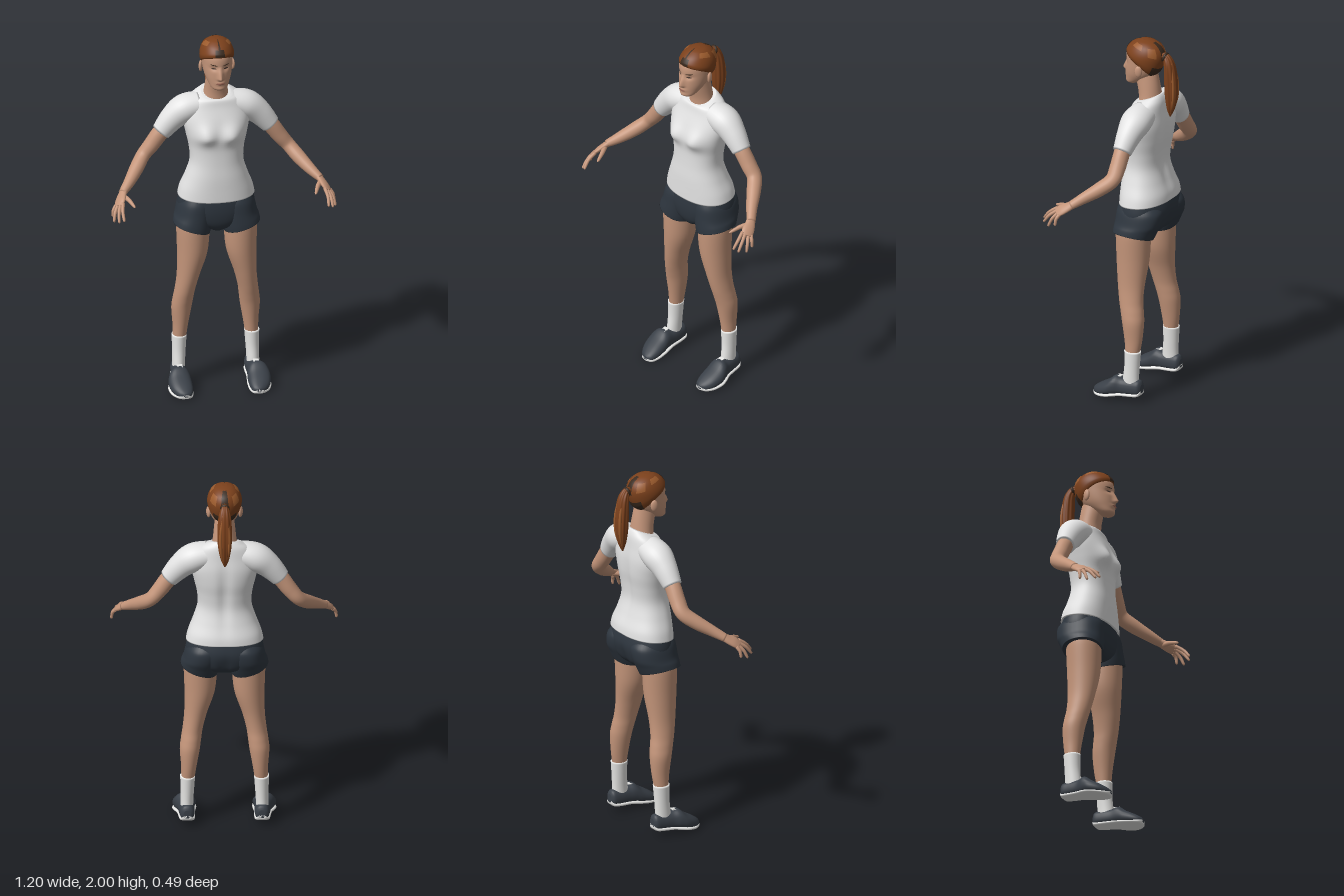
import * as THREE from 'three';

const V = (x, y, z) => new THREE.Vector3(x, y, z);
const mat = (name, color, side = THREE.FrontSide) => {
  const m = new THREE.MeshStandardMaterial({ color, side });
  m.name = name;
  return m;
};
const gauss = (d, w) => Math.exp(-(d * d) / (w * w));
const bend = (s, e) => Math.sign(s) * Math.abs(s) ** e;

// Catmull-Rom interpolation through rows of equal length
function smooth(rows, sub) {
  const out = [], last = rows.length - 1;
  for (let i = 0; i < last; i++) {
    const [p, a, b, q] = [rows[Math.max(i - 1, 0)], rows[i], rows[i + 1], rows[Math.min(i + 2, last)]];
    for (let k = 0; k < sub; k++) {
      const t = k / sub;
      out.push(a.map((v, j) => v + 0.5 * t * (b[j] - p[j] + t * (2 * p[j] - 5 * v + 4 * b[j] - q[j] + t * (3 * (v - b[j]) + q[j] - p[j])))));
    }
  }
  out.push(rows[last]);
  return out;
}

// Surface through rings of points; closed surfaces get end caps
function skinRings(rings, closed = true) {
  const n = rings[0].length, pos = [], idx = [], m = closed ? n : n - 1;
  rings.forEach(r => r.forEach(p => pos.push(p.x, p.y, p.z)));
  for (let j = 0; j < rings.length - 1; j++) for (let i = 0; i < m; i++) {
    const a = j * n + i, b = j * n + (i + 1) % n;
    idx.push(a, b, b + n, a, b + n, a + n);
  }
  if (closed) [0, rings.length - 1].forEach((j, end) => {
    const c = rings[j].reduce((s, p) => s.add(p), V(0, 0, 0)).divideScalar(n), k = pos.length / 3;
    pos.push(c.x, c.y, c.z);
    for (let i = 0; i < n; i++) {
      const a = j * n + i, b = j * n + (i + 1) % n;
      if (end) idx.push(k, a, b);
      else idx.push(k, b, a);
    }
  });
  const g = new THREE.BufferGeometry();
  g.setAttribute('position', new THREE.Float32BufferAttribute(pos, 3));
  g.setIndex(idx);
  g.computeVertexNormals();
  return g;
}

// Horizontal rings: [y, centreX, zFront, zBack, halfWidth, tiltZ, tiltX], tilts optional
function stack(rows, { n = 36, sub = 6, e = 1, move = null } = {}) {
  const full = rows.map(([y, cx, zf, zb, rx, tz = 0, tx = 0]) => [y, cx, zf, zb, rx, tz, tx]);
  return skinRings(smooth(full, sub).map(([y, cx, zf, zb, rx, tz, tx]) =>
    Array.from({ length: n }, (_, i) => {
      const a = i / n * Math.PI * 2, s = bend(Math.sin(a), e), c = bend(Math.cos(a), e);
      const p = V(cx + rx * s, y - tz * c + tx * s, (zf + zb) / 2 + (zf - zb) / 2 * c);
      if (move) move(p, a);
      return p;
    })));
}

// Tube along a path: [x, y, z, thickness, width], width measured along ref
function limb(rows, ref = V(0, 0, 1), { n = 20, sub = 6, ridge = 0 } = {}) {
  const pts = smooth(rows, sub);
  return skinRings(pts.map((r, j) => {
    const a = pts[Math.max(j - 1, 0)], b = pts[Math.min(j + 1, pts.length - 1)];
    const t = V(b[0] - a[0], b[1] - a[1], b[2] - a[2]).normalize();
    const v = ref.clone().addScaledVector(t, -ref.dot(t)).normalize(), u = t.clone().cross(v);
    return Array.from({ length: n }, (_, i) => {
      const q = i / n * Math.PI * 2, k = 1 + ridge * Math.cos(9 * q);
      return V(r[0], r[1], r[2]).addScaledVector(u, Math.sin(q) * r[3] * k).addScaledVector(v, Math.cos(q) * r[4] * k);
    });
  }));
}

function mirrored(geo) {
  const g = geo.clone().applyMatrix4(new THREE.Matrix4().makeScale(-1, 1, 1)), ix = g.index.array;
  for (let i = 0; i < ix.length; i += 3) [ix[i], ix[i + 1]] = [ix[i + 1], ix[i]];
  return g;
}

// Head surface by height and angle
const headTable = smooth([
  [1.738, 0.02, 0.046, 0.01], [1.75, 0.042, 0.06, -0.02], [1.785, 0.061, 0.062, -0.08], [1.82, 0.073, 0.062, -0.118],
  [1.87, 0.081, 0.058, -0.145], [1.92, 0.083, 0.053, -0.154], [1.96, 0.068, 0.03, -0.138], [1.983, 0.042, -0.005, -0.102], [1.991, 0.012, -0.035, -0.065],
], 24);
function headPoint(y, a) {
  let i = headTable.findIndex(r => r[0] >= y);
  if (i < 0) i = headTable.length - 1;
  const q = headTable[i], p = headTable[Math.max(i - 1, 0)], f = q === p ? 0 : (y - p[0]) / (q[0] - p[0]);
  const [, rx, zf, zb] = p.map((v, k) => v + (q[k] - v) * f);
  const pt = V(rx * Math.sin(a), y, (zf + zb) / 2 + (zf - zb) / 2 * Math.cos(a));
  if (Math.cos(a) > 0) {
    const x = Math.abs(pt.x), up = y - 1.812;
    const nose = up > 0 ? Math.max(0, 1 - up / 0.065) : Math.max(0, 1 + up / 0.014);
    pt.z += 0.027 * nose * gauss(x, 0.013) - 0.009 * gauss(x - 0.032, 0.02) * gauss(y - 1.866, 0.014)
      + 0.006 * gauss(x, 0.024) * gauss(y - 1.785, 0.011) + 0.004 * gauss(x, 0.025) * gauss(y - 1.752, 0.01);
  }
  return pt;
}

// Hair shell: angle a around the head, t from hairline (0) to crown (1)
function hairPoint(a, t, lift) {
  const line = 1.872 + 0.062 * Math.cos(a) - 0.008 * Math.cos(2 * a);
  const p = headPoint(line + (1.991 - line) * (1 - (1 - t) ** 2), a), c = V(0, 1.87, -0.045);
  return p.add(p.clone().sub(c).normalize().multiplyScalar(lift * Math.min(1, 0.25 + t * 8)));
}
const hairPatch = (a0, a1, t0, t1, lift) => skinRings(Array.from({ length: 13 }, (_, j) =>
  Array.from({ length: 13 }, (_, i) => hairPoint(a0 + (a1 - a0) * i / 12, t0 + (t1 - t0) * j / 12, lift))), false);

// Painted oval lying on the face
function facePatch(cx, cy, w, h, slope = 0) {
  const g = new THREE.RingGeometry(0.01, 1, 20, 3), p = g.attributes.position;
  for (let i = 0; i < p.count; i++) {
    const x = cx + w * p.getX(i), y = cy + h * p.getY(i) + slope * p.getX(i);
    p.setXYZ(i, x, y, headPoint(y, Math.asin(x / 0.079)).z + 0.003);
  }
  g.computeVertexNormals();
  return g;
}

// Shoe slices along z: [z, centreX, halfWidth, yBottom, yTop]
const shoeRows = [[-0.15, 0.198, 0.018, 0.055, 0.1], [-0.135, 0.198, 0.036, 0.04, 0.122], [-0.09, 0.2, 0.042, 0.034, 0.122], [-0.04, 0.204, 0.046, 0.03, 0.122],
  [0, 0.21, 0.056, 0.024, 0.13], [0.04, 0.212, 0.062, 0.016, 0.1], [0.09, 0.207, 0.055, 0.008, 0.07], [0.125, 0.2, 0.036, 0.006, 0.046], [0.139, 0.198, 0.014, 0.012, 0.032]];
const shoe = (sole) => skinRings(smooth(shoeRows, 5).map(([z, cx, w, y0, y1]) => {
  const low = sole ? y0 - 0.006 : y0, high = sole ? y0 + 0.016 : y1;
  return Array.from({ length: 28 }, (_, i) => {
    const a = i / 28 * Math.PI * 2, s = Math.sin(a);
    const taper = !sole && s > 0 ? 1 - 0.25 * s : 1;
    return V(cx + (w + (sole ? 0.002 : 0)) * taper * bend(Math.cos(a), 0.75), (low + high) / 2 + (high - low) / 2 * bend(s, 0.7), z);
  });
}));

export function createModel() {
  const root = new THREE.Group();
  root.name = 'woman';
  const skin = mat('skin', 0xc4957a), hair = mat('hair', 0x7c411c, THREE.DoubleSide), hairLight = mat('light hair', 0x9a5a2c, THREE.DoubleSide);
  const hairDark = mat('dark hair', 0x3a2a1e, THREE.DoubleSide), shirt = mat('shirt', 0xe2e2e2), shorts = mat('shorts', 0x2e363f);
  const shoeMat = mat('shoe', 0x3a4048), white = mat('sock and sole', 0xe6e6e4), lips = mat('lips', 0xa06a5a), eye = mat('eye', 0x4a382f);
  const add = (name, geo, m) => {
    const mesh = new THREE.Mesh(geo, m);
    mesh.name = name;
    root.add(mesh);
  };
  const pair = (name, geo, m) => {
    add('left ' + name, geo, m);
    add('right ' + name, mirrored(geo), m);
  };

  // Head and face
  add('head', skinRings(Array.from({ length: 71 }, (_, j) => Array.from({ length: 80 }, (_, i) =>
    headPoint(1.738 + 0.253 * (1 - (1 - j / 70) ** 1.3), i / 80 * Math.PI * 2)))), skin);
  pair('ear', new THREE.SphereGeometry(1, 16, 12).scale(0.011, 0.032, 0.02).rotateY(0.35).translate(0.085, 1.843, -0.058), skin);
  pair('eye', facePatch(0.032, 1.865, 0.013, 0.004), eye);
  pair('eyebrow', facePatch(0.034, 1.886, 0.018, 0.0028, 0.002), hairDark);
  add('mouth', facePatch(0, 1.784, 0.024, 0.006), lips);
  add('neck', stack([[1.62, 0, -0.02, -0.155, 0.078], [1.69, 0, -0.02, -0.143, 0.064], [1.76, 0, -0.005, -0.132, 0.056], [1.82, 0, 0.01, -0.12, 0.05]]), skin);

  // Hair, with parting and streaks
  add('hair', skinRings(Array.from({ length: 25 }, (_, j) => Array.from({ length: 60 }, (_, i) => hairPoint(i / 60 * Math.PI * 2, j / 24, 0.009)))), hair);
  add('front parting', hairPatch(-0.3, 0.3, 0.02, 0.3, 0.011), hairDark);
  add('crown parting', hairPatch(-0.07, 0.07, 0.3, 0.95, 0.011), hairDark);
  add('back parting', hairPatch(Math.PI - 0.22, Math.PI + 0.22, 0.3, 0.8, 0.011), hairDark);
  add('nape hair', hairPatch(Math.PI - 0.75, Math.PI + 0.75, 0.0, 0.16, 0.011), hairDark);
  pair('upper streak', hairPatch(1.0, 1.75, 0.45, 0.66, 0.011), hairLight);
  pair('back streak', hairPatch(2.1, 2.6, 0.35, 0.6, 0.011), hairLight);

  // Ponytail
  add('ponytail', limb([[0, 1.925, -0.15, 0.016, 0.016], [0, 1.925, -0.178, 0.02, 0.02], [0, 1.885, -0.198, 0.028, 0.032], [0, 1.81, -0.207, 0.034, 0.037],
    [0, 1.72, -0.21, 0.034, 0.035], [0, 1.64, -0.207, 0.022, 0.022], [0, 1.59, -0.203, 0.004, 0.004]], V(1, 0, 0), { n: 54, ridge: 0.06 }), hair);
  add('hair tie', new THREE.TorusGeometry(0.018, 0.008, 10, 24).rotateX(-0.3).translate(0, 1.925, -0.174), hairDark);
  pair('ponytail strand', limb([[0.012, 1.9, -0.212, 0.004, 0.006], [0.022, 1.8, -0.232, 0.008, 0.009], [0.02, 1.7, -0.233, 0.008, 0.008], [0.008, 1.61, -0.212, 0.003, 0.003]]), hairLight);

  // Shirt: bust and spine shaped by soft bumps
  add('shirt body', stack([
    [1.1, 0, 0.056, -0.212, 0.205, 0.012], [1.15, 0, 0.055, -0.206, 0.193, 0.005], [1.22, 0, 0.053, -0.185, 0.166], [1.3, 0, 0.047, -0.167, 0.143],
    [1.38, 0, 0.045, -0.172, 0.147], [1.46, 0, 0.05, -0.184, 0.164], [1.54, 0, 0.03, -0.186, 0.178], [1.61, 0, 0.004, -0.178, 0.165],
    [1.655, 0, -0.006, -0.172, 0.135, 0.01], [1.675, 0, -0.012, -0.162, 0.1, 0.02], [1.683, 0, -0.018, -0.152, 0.078, 0.026],
  ], { n: 72, e: 0.88, move: (p, a) => {
    const x = Math.abs(p.x);
    if (Math.cos(a) > 0) p.z += 0.03 * gauss(x - 0.075, 0.052) * gauss(p.y - 1.465, p.y < 1.465 ? 0.04 : 0.06) * Math.cos(a);
    else p.z += 0.013 * gauss(x, 0.03) * gauss(p.y - 1.4, 0.2);
  } }), shirt);
  pair('sleeve', limb([[0.08, 1.612, -0.09, 0.066, 0.075], [0.165, 1.588, -0.092, 0.077, 0.082], [0.232, 1.537, -0.089, 0.067, 0.066], [0.294, 1.464, -0.085, 0.052, 0.05]], V(0, 0, 1), { n: 32 }), shirt);

  // Arms and hands
  pair('arm', limb([[0.24, 1.525, -0.086, 0.044, 0.044], [0.298, 1.458, -0.086, 0.045, 0.043], [0.345, 1.392, -0.088, 0.042, 0.043], [0.39, 1.337, -0.083, 0.037, 0.041],
    [0.435, 1.288, -0.03, 0.037, 0.038], [0.485, 1.242, 0.035, 0.03, 0.03], [0.532, 1.205, 0.088, 0.02, 0.024]], V(0, 0, 1), { n: 24 }), skin);
  const across = V(-0.64, 0.44, 0.63);
  pair('palm', limb([[0.522, 1.213, 0.077, 0.018, 0.022], [0.538, 1.195, 0.103, 0.016, 0.029], [0.552, 1.178, 0.132, 0.014, 0.034], [0.565, 1.16, 0.155, 0.009, 0.03]], across), skin);
  const tips = { index: [0.55, 1.108, 0.243], middle: [0.575, 1.097, 0.23], ring: [0.596, 1.087, 0.19], little: [0.596, 1.1, 0.147] };
  Object.entries(tips).forEach(([name, tip], i) => {
    const base = V(0.558, 1.168, 0.148).addScaledVector(across, 0.025 - i * 0.0167), end = V(...tip);
    const mid = base.clone().lerp(end, 0.5).add(V(0.005, 0.006, 0.003)), pad = base.clone().lerp(end, 0.93);
    pair(name + ' finger', limb([[...base, 0.01, 0.01], [...mid, 0.009, 0.009], [...pad, 0.007, 0.007], [...end, 0.002, 0.002]], across, { n: 10, sub: 4 }), skin);
  });
  pair('thumb', limb([[0.532, 1.195, 0.1, 0.014, 0.014], [0.508, 1.187, 0.145, 0.012, 0.012], [0.49, 1.172, 0.193, 0.008, 0.008], [0.485, 1.167, 0.207, 0.002, 0.002]], V(0, 1, 0), { n: 12 }), skin);

  // Shorts
  add('shorts seat', stack([[0.905, 0, 0.0, -0.1, 0.03], [0.925, 0, 0.025, -0.15, 0.08], [0.96, 0, 0.042, -0.188, 0.16], [1.01, 0, 0.05, -0.207, 0.2], [1.06, 0, 0.05, -0.213, 0.205],
    [1.115, 0, 0.044, -0.202, 0.195]], { n: 48, e: 0.9, move: (p, a) => { if (Math.cos(a) < 0) p.z += 0.014 * gauss(p.x, 0.025) * gauss(p.y - 0.97, 0.07); } }), shorts);
  pair('shorts leg', stack([[0.916, 0.135, 0.053, -0.165, 0.097, -0.004, 0.03], [0.95, 0.127, 0.053, -0.183, 0.1, 0, 0.022], [1.0, 0.115, 0.05, -0.205, 0.102], [1.06, 0.105, 0.045, -0.209, 0.098], [1.1, 0.1, 0.03, -0.18, 0.08]], { e: 0.92 }), shorts);

  // Legs, socks and shoes
  pair('leg', stack([[0.25, 0.195, -0.052, -0.125, 0.034], [0.34, 0.189, -0.042, -0.14, 0.041], [0.44, 0.184, -0.026, -0.147, 0.053], [0.5, 0.177, -0.012, -0.141, 0.054],
    [0.56, 0.168, 0.003, -0.132, 0.054], [0.65, 0.152, 0.02, -0.132, 0.061], [0.78, 0.131, 0.036, -0.143, 0.081], [0.93, 0.127, 0.042, -0.15, 0.089], [0.97, 0.122, 0.035, -0.15, 0.085]]), skin);
  pair('sock', stack([[0.07, 0.2, -0.03, -0.13, 0.034], [0.13, 0.199, -0.038, -0.128, 0.034], [0.2, 0.197, -0.045, -0.131, 0.036], [0.284, 0.195, -0.044, -0.137, 0.04]]), white);
  pair('shoe', shoe(false), shoeMat);
  pair('sole', shoe(true), white);
  pair('sock tongue', new THREE.BoxGeometry(0.03, 0.004, 0.034).rotateX(0.12).translate(0.205, 0.128, -0.015), white);
  return root;
}
